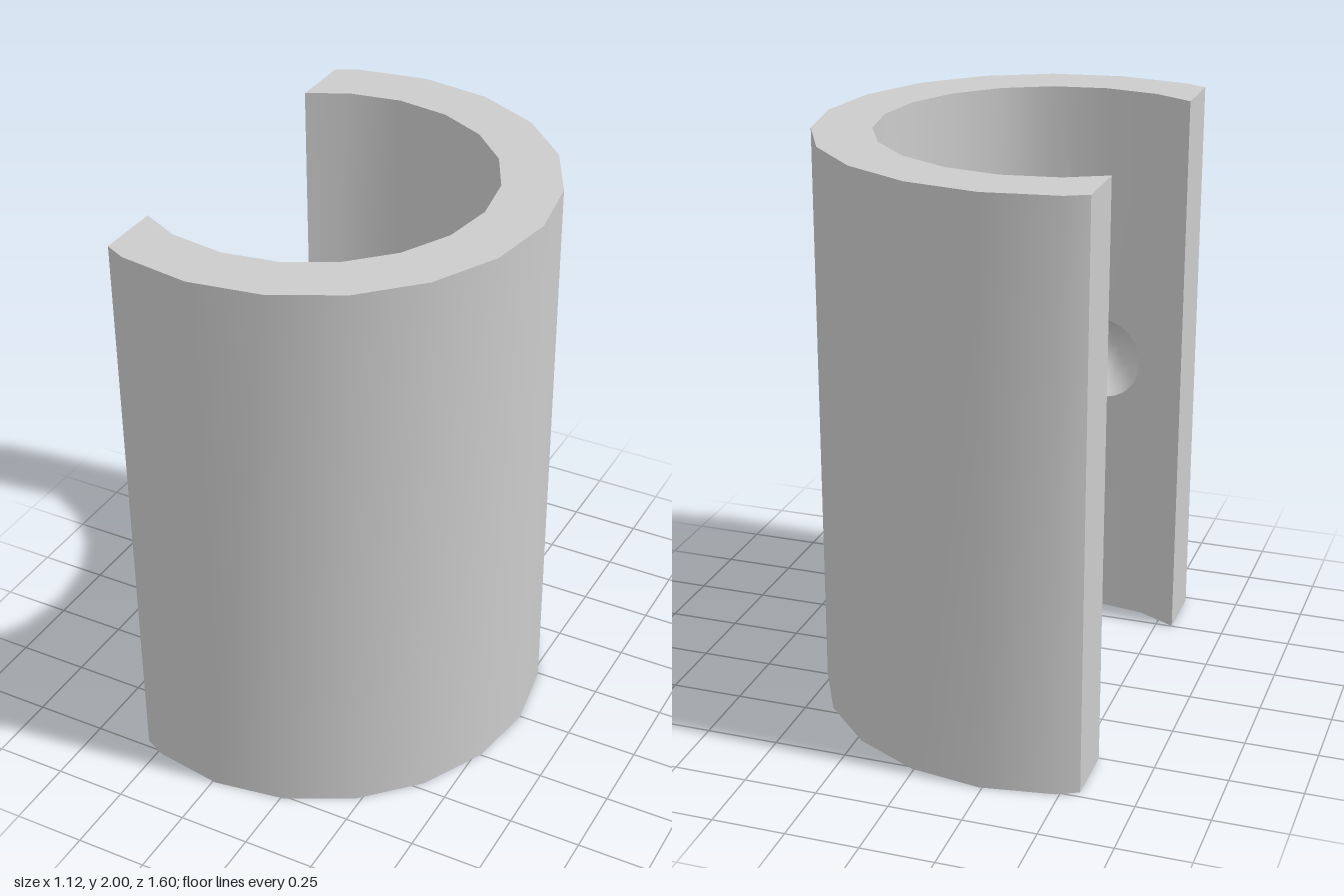
import * as THREE from 'three';
import { mergeGeometries, toCreasedNormals } from 'three/addons/utils/BufferGeometryUtils.js';

const CX = -0.24, R_OUT = 0.8, R_IN = 0.6, CUT_X = -0.56, H = 2;
const STEP = Math.PI / 10;
const DIMPLE_R = 0.15, DIMPLE_Y = 1, HALF = 16;

// Point on the ring, angle measured from +z towards +x
const polar = (r, a) => [CX + r * Math.sin(a), r * Math.cos(a)];

// Open ring outline [x, z], trimmed flat at the opening
function outline(r, cutZ) {
  const pts = [[CUT_X, cutZ]];
  for (let i = -1; i <= 11; i++) pts.push(polar(r, i * STEP));
  pts.push([CUT_X, -cutZ]);
  return pts;
}

// Strip to bare triangles, optionally reversing the winding
function bare(geometry, flip) {
  const g = geometry.index ? geometry.toNonIndexed() : geometry;
  g.deleteAttribute('uv');
  g.deleteAttribute('normal');
  if (flip) {
    const p = g.attributes.position;
    const a = new THREE.Vector3(), b = new THREE.Vector3();
    for (let i = 0; i < p.count; i += 3) {
      a.fromBufferAttribute(p, i + 1);
      b.fromBufferAttribute(p, i + 2);
      p.setXYZ(i + 1, b.x, b.y, b.z);
      p.setXYZ(i + 2, a.x, a.y, a.z);
    }
  }
  return g;
}

// Fold flat (u, y, depth) geometry onto the two inner facets meeting at x = CX
function foldOntoWall(g, side = 1) {
  const p = g.attributes.position;
  const c = Math.cos(STEP / 2), s = Math.sin(STEP / 2);
  for (let i = 0; i < p.count; i++) {
    const u = p.getX(i);
    p.setXYZ(i, CX + side * u * c, p.getY(i), R_IN - Math.abs(u) * s + p.getZ(i));
  }
  return g;
}

function shellGeometry() {
  const outer = outline(R_OUT, 0.724), inner = outline(R_IN, 0.502);
  const verts = [];
  const quad = (a, b, c, d) => [a, b, c, a, c, d].forEach((v) => verts.push(...v));
  const at = ([x, z], y) => [x, y, z];
  const wall = (p, q) => quad(at(p, 0), at(q, 0), at(q, H), at(p, H));
  const last = outer.length - 1;

  for (let i = 0; i < last; i++) {
    const o = outer[i], o2 = outer[i + 1], n = inner[i], n2 = inner[i + 1];
    wall(o, o2);
    if (i !== 1 && i !== 2) wall(n2, n); // the two dimpled facets follow below
    quad(at(o, H), at(o2, H), at(n2, H), at(n, H));
    quad(at(n, 0), at(n2, 0), at(o2, 0), at(o, 0));
  }
  wall(inner[0], outer[0]);
  wall(outer[last], inner[last]);
  const body = new THREE.BufferGeometry();
  body.setAttribute('position', new THREE.Float32BufferAttribute(verts, 3));
  const parts = [body];

  // Facets on either side of the dimple, each with a half-round notch
  const width = 2 * R_IN * Math.sin(STEP / 2);
  const notch = [[0, 0], [width, 0], [width, H], [0, H]];
  for (let i = 0; i <= HALF; i++) {
    const a = (i / HALF) * Math.PI;
    notch.push([DIMPLE_R * Math.sin(a), DIMPLE_Y + DIMPLE_R * Math.cos(a)]);
  }
  const shape = new THREE.Shape(notch.map(([x, y]) => new THREE.Vector2(x, y)));
  for (const side of [1, -1]) {
    parts.push(bare(foldOntoWall(new THREE.ShapeGeometry(shape), side), side === 1));
  }

  // Blind round dimple sunk into the inner wall
  const bowl = new THREE.SphereGeometry(DIMPLE_R, 16, HALF, 0, Math.PI);
  bowl.translate(0, DIMPLE_Y, 0);
  parts.push(bare(foldOntoWall(bowl), true));

  return toCreasedNormals(mergeGeometries(parts), 0.6);
}

// Curved, bevelled tab hugging the inner wall
function tabGeometry() {
  const deg = Math.PI / 180;
  const profile = [
    [0.65, 0], [0.575, 0], [0.543, 2], [0.535, 18], [0.54, 34],
    [0.575, 36], [0.65, 36], [0.65, 18],
  ].map(([r, a]) => {
    const [x, z] = polar(r, a * deg);
    return new THREE.Vector2(x, -z);
  });
  const g = new THREE.ExtrudeGeometry(new THREE.Shape(profile), {
    depth: 0.225, bevelEnabled: true, bevelSegments: 1,
    bevelThickness: 0.02, bevelSize: 0.015, bevelOffset: -0.015,
  });
  g.rotateX(-Math.PI / 2);
  g.translate(0, 0.3, 0);
  return toCreasedNormals(g, 0.6);
}

export function createModel() {
  const group = new THREE.Group();
  group.name = 'openSleeve';
  const material = new THREE.MeshStandardMaterial({ color: 0xcccccc });
  const add = (name, geometry) => {
    const mesh = new THREE.Mesh(geometry, material);
    mesh.name = name;
    group.add(mesh);
  };
  add('sleeveShell', shellGeometry());
  add('innerTab', tabGeometry());
  return group;
}
